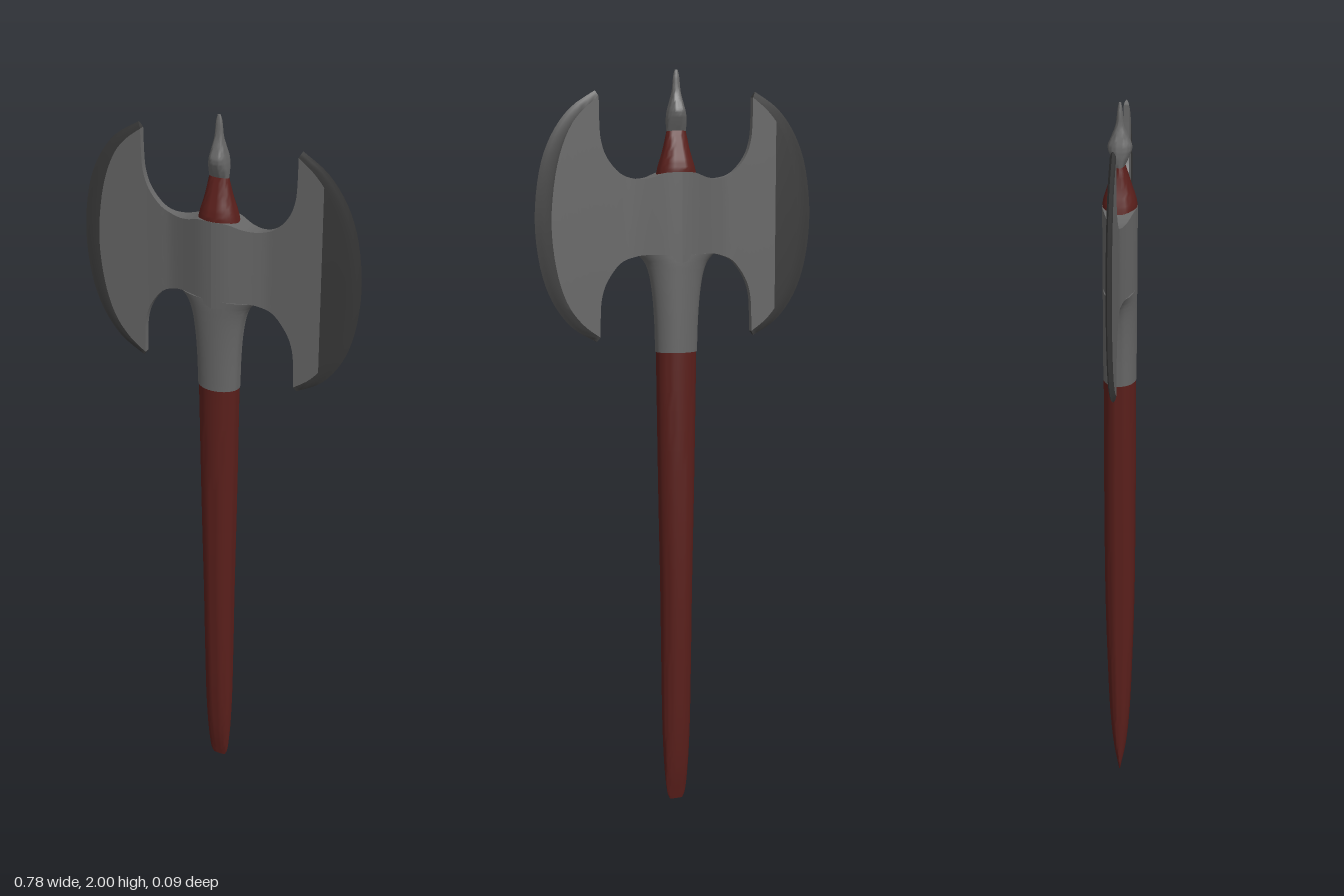
import * as THREE from 'three';
import { toCreasedNormals } from 'three/addons/utils/BufferGeometryUtils.js';

const steel = new THREE.MeshStandardMaterial({ color: 0x666666 });
const edgeSteel = new THREE.MeshStandardMaterial({ color: 0x3a3a3a });
const wood = new THREE.MeshStandardMaterial({ color: 0x5a1f1b });

// Skin a list of closed rings (each an array of [x, y, z]); end rings may be capped
function loft(rings, capped = true) {
  const n = rings[0].length;
  const pos = rings.flat(2);
  const index = [];
  for (let i = 0; i < rings.length - 1; i++) {
    for (let j = 0; j < n; j++) {
      const a = i * n + j, b = i * n + (j + 1) % n;
      index.push(a, a + n, b, b, a + n, b + n);
    }
  }
  if (capped) {
    const last = (rings.length - 1) * n;
    for (let j = 1; j < n - 1; j++) {
      index.push(0, j, j + 1, last, last + j + 1, last + j);
    }
  }
  const geo = new THREE.BufferGeometry();
  geo.setAttribute('position', new THREE.Float32BufferAttribute(pos, 3));
  geo.setIndex(index);
  return toCreasedNormals(geo, 0.7);
}

// Upright part with elliptical sections given as [y, halfWidth, halfDepth]
function ellipticalPart(name, sections, material, steps) {
  const curve = new THREE.CatmullRomCurve3(sections.map(s => new THREE.Vector3(...s)), false, 'centripetal');
  const rings = [];
  for (let i = 0; i <= steps; i++) {
    const p = curve.getPoint(i / steps);
    const ring = [];
    for (let j = 0; j < 32; j++) {
      const a = j / 32 * Math.PI * 2;
      ring.push([p.y * Math.cos(a), p.x, -p.z * Math.sin(a)]);
    }
    rings.push(ring.reverse());
  }
  const mesh = new THREE.Mesh(loft(rings), material);
  mesh.name = name;
  return mesh;
}

const curve2 = pts => new THREE.SplineCurve(pts.map(p => new THREE.Vector2(...p)));

// Outline of the right-hand half of the head
const topEdge = curve2([[0, 1.737], [0.04, 1.735], [0.08, 1.722], [0.12, 1.72], [0.16, 1.735],
  [0.195, 1.775], [0.211, 1.82], [0.215, 1.87], [0.216, 1.93]]);
const bottomEdge = curve2([[0, 1.5], [0.05, 1.515], [0.09, 1.521], [0.12, 1.517], [0.16, 1.50],
  [0.195, 1.455], [0.211, 1.41], [0.215, 1.36], [0.216, 1.308]]);
const bevelLine = curve2([[0.216, 1.308], [0.265, 1.345], [0.308, 1.405], [0.337, 1.495], [0.35, 1.615],
  [0.337, 1.74], [0.308, 1.83], [0.265, 1.89], [0.216, 1.93]]);
const cuttingLine = curve2([[0.224, 1.296], [0.292, 1.337], [0.344, 1.405], [0.376, 1.495], [0.389, 1.615],
  [0.376, 1.74], [0.344, 1.83], [0.292, 1.9], [0.224, 1.945]]);

// Half thickness of the head at a given distance from the shaft
const thickness = curve2([[0, 0.045], [0.03, 0.041], [0.06, 0.032], [0.1, 0.019], [0.135, 0.01],
  [0.16, 0.009], [0.22, 0.008], [0.36, 0.007]]).getPoints(80);
function halfDepth(x) {
  const i = Math.max(1, thickness.findIndex(p => p.x >= x));
  const a = thickness[i - 1], b = thickness[i];
  return THREE.MathUtils.mapLinear(x, a.x, b.x, a.y, b.y);
}

const V = 32;
// Ring running up the front face and down the back face
function sheetRing(pointAt, depthAt) {
  const front = [], back = [];
  for (let j = 0; j <= V; j++) {
    const p = pointAt(j / V), d = depthAt(p, j / V);
    front.push([p.x, p.y, d]);
    back.unshift([p.x, p.y, -d]);
  }
  return [...front, ...back];
}

function buildBlade() {
  const blade = new THREE.Group();
  const tipLow = bevelLine.getPoint(0), tipHigh = bevelLine.getPoint(1);

  // Cheek: from the shaft out to the start of the bevel, bulging towards the arc
  const rings = [];
  for (let i = 0; i <= 32; i++) {
    const u = i / 32, low = bottomEdge.getPoint(u), high = topEdge.getPoint(u);
    const bulge = Math.pow(u, 2.5);
    rings.push(sheetRing(v => {
      const arc = bevelLine.getPoint(v).sub(tipLow.clone().lerp(tipHigh, v));
      return low.clone().lerp(high, v).addScaledVector(arc, bulge);
    }, p => halfDepth(p.x)));
  }
  const cheek = new THREE.Mesh(loft(rings, false), steel);
  cheek.name = 'bladeCheek';

  // Ground edge: thins out from the bevel line to the cutting line
  const bevel = [0, 0.35, 0.7, 1].map(t => sheetRing(
    v => bevelLine.getPoint(v).lerp(cuttingLine.getPoint(v), t),
    () => 0.0075 * Math.sqrt(1 - t * 0.99)));
  const edge = new THREE.Mesh(loft(bevel), edgeSteel);
  edge.name = 'cuttingEdge';

  blade.add(cheek, edge);
  return blade;
}

export function createModel() {
  const axe = new THREE.Group();
  axe.name = 'doubleAxe';

  // Shaft, flattened towards the foot
  axe.add(ellipticalPart('handle', [[0, 0.018, 0.002], [0.015, 0.025, 0.005], [0.08, 0.033, 0.017],
    [0.2, 0.039, 0.028], [0.4, 0.042, 0.036], [0.6, 0.044, 0.041], [0.9, 0.05, 0.043], [1.27, 0.056, 0.043]],
  wood, 48));

  // Socket flaring into the blades
  axe.add(ellipticalPart('socket', [[1.262, 0.058, 0.044], [1.35, 0.061, 0.044], [1.42, 0.067, 0.044],
    [1.47, 0.076, 0.044], [1.5, 0.088, 0.044], [1.522, 0.108, 0.043]], steel, 24));

  // Two blades, the second turned half way round the shaft
  ['leftBlade', 'rightBlade'].forEach((name, i) => {
    const blade = buildBlade();
    blade.name = name;
    blade.rotation.y = i * Math.PI;
    axe.add(blade);
  });

  // Collar and spike above the head
  axe.add(ellipticalPart('collar', [[1.725, 0.056, 0.044], [1.75, 0.05, 0.043], [1.79, 0.038, 0.031],
    [1.845, 0.026, 0.013]], wood, 12));
  axe.add(ellipticalPart('spike', [[1.842, 0.027, 0.013], [1.865, 0.028, 0.023], [1.89, 0.025, 0.031],
    [1.915, 0.019, 0.022], [1.945, 0.012, 0.011], [1.985, 0.008, 0.006], [2, 0.004, 0.003]], steel, 24));

  return axe;
}
